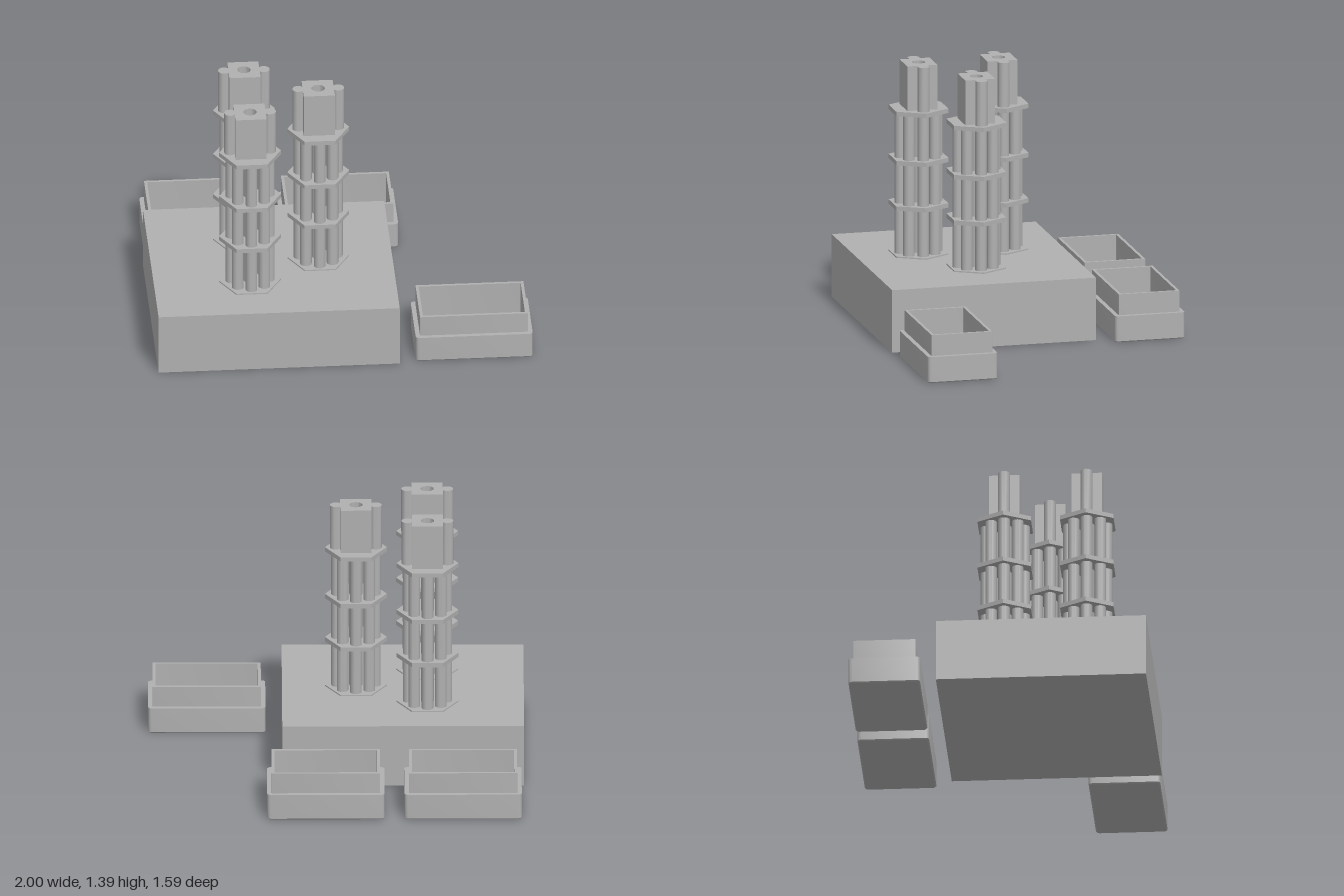
import * as THREE from 'three';
import { toCreasedNormals } from 'three/addons/utils/BufferGeometryUtils.js';

const grey = new THREE.MeshStandardMaterial({ color: 0xb0b0b0 });
grey.name = 'plain grey';

function addMesh(parent, name, geometry, x = 0, y = 0, z = 0) {
  const mesh = new THREE.Mesh(geometry, grey);
  mesh.name = name;
  mesh.position.set(x, y, z);
  parent.add(mesh);
  return mesh;
}

// Upright cylinder standing on y
function addRod(parent, name, r, height, x, y, z) {
  const geo = toCreasedNormals(new THREE.CylinderGeometry(r, r, height, 24), 0.6);
  return addMesh(parent, name, geo, x, y + height / 2, z);
}

// Rounded rectangle outline at height y, pulled in by inset
function binRing(inset, y, collapsed) {
  const hx = 0.312 - inset, hz = 0.191 - inset;
  const r = Math.max(0.002, 0.02 - inset);
  const ring = [];
  for (let c = 0; c < 4; c++) {
    const cx = (c === 0 || c === 3 ? 1 : -1) * (hx - r);
    const cz = (c < 2 ? 1 : -1) * (hz - r);
    for (let k = 0; k <= 4; k++) {
      const a = (c + k / 4) * Math.PI / 2;
      ring.push(collapsed ? [0, y, 0] : [cx + r * Math.cos(a), y, cz + r * Math.sin(a)]);
    }
  }
  return ring;
}

// Open stepped bin: rings run from the underside, up the outside, over the rim and down inside
function binGeometry() {
  const rings = [
    binRing(0, 0, true), binRing(0.006, 0), binRing(0, 0.006), binRing(0, 0.143),
    binRing(0.024, 0.143), binRing(0.024, 0.257), binRing(0.04, 0.257),
    binRing(0.04, 0.018), binRing(0, 0.018, true),
  ];
  const pos = [];
  for (let j = 0; j < rings.length - 1; j++) {
    const lo = rings[j], hi = rings[j + 1], n = lo.length;
    for (let i = 0; i < n; i++) {
      const k = (i + 1) % n;
      if (j < rings.length - 2) pos.push(...lo[i], ...hi[i], ...hi[k]);
      if (j > 0) pos.push(...lo[i], ...hi[k], ...lo[k]);
    }
  }
  const geo = new THREE.BufferGeometry();
  geo.setAttribute('position', new THREE.Float32BufferAttribute(pos, 3));
  return toCreasedNormals(geo, 0.5);
}

// Square head with a bore down its middle
function headGeometry(height) {
  const shape = new THREE.Shape();
  shape.moveTo(-0.083, -0.082).lineTo(0.083, -0.082).lineTo(0.083, 0.082).lineTo(-0.083, 0.082);
  shape.closePath();
  shape.holes.push(new THREE.Path().absarc(0, 0, 0.035, 0, Math.PI * 2, true));
  const geo = new THREE.ExtrudeGeometry(shape, { depth: height, bevelEnabled: false, curveSegments: 24 });
  geo.rotateX(-Math.PI / 2);
  return toCreasedNormals(geo, 0.6);
}

function createTower(x, z) {
  const tower = new THREE.Group();
  tower.name = 'tower';
  tower.position.set(x, 0, z);

  // Hexagonal plates with corners on the x axis
  for (const top of [0.349, 0.624, 0.873, 1.142]) {
    const hex = new THREE.CylinderGeometry(0.165, 0.165, 0.024, 6).toNonIndexed();
    hex.rotateY(Math.PI / 2);
    hex.computeVertexNormals();
    addMesh(tower, 'hexPlate', hex, 0, top - 0.012, 0);
  }

  // Ring of eight rods around a central one
  for (let i = 0; i < 8; i++) {
    const a = i * Math.PI / 4;
    addRod(tower, 'outerRod', 0.031, 0.79, 0.1 * Math.cos(a), 0.34, 0.1 * Math.sin(a));
  }
  addRod(tower, 'centreRod', 0.035, 0.79, 0, 0.34, 0);

  // Bored head with a post on either side
  addMesh(tower, 'head', headGeometry(0.245), 0, 1.141, 0);
  for (const s of [-1, 1]) addRod(tower, 'sidePost', 0.032, 0.245, s * 0.106, 1.141, 0);
  return tower;
}

export function createModel() {
  const model = new THREE.Group();
  model.name = 'towersAndBins';

  addMesh(model, 'base', new THREE.BoxGeometry(1.286, 0.342, 1.12), -0.357, 0.171, 0.232);

  for (const [x, z] of [[-0.487, 0.008], [-0.107, 0.228], [-0.487, 0.448]]) {
    model.add(createTower(x, z));
  }

  const bin = binGeometry();
  for (const [x, z] of [[-0.674, -0.605], [0.056, -0.605], [0.685, 0.585]]) {
    addMesh(model, 'bin', bin, x, 0, z);
  }
  return model;
}
